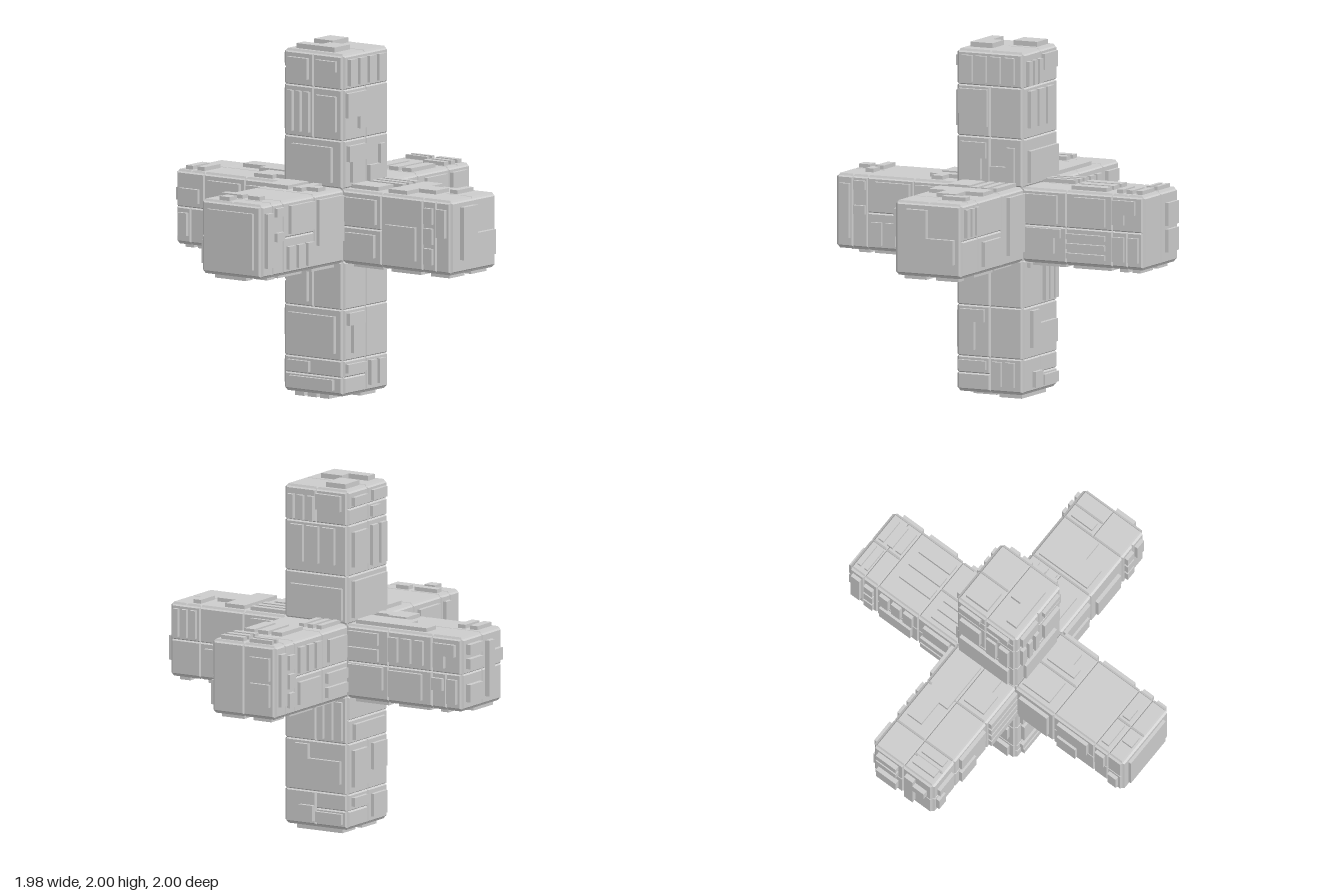
import * as THREE from 'three';

const HALF = 0.2, REACH = 0.96, SKIN = 0.012;
const material = new THREE.MeshStandardMaterial({ color: 0xcccccc, flatShading: true });

// Bevelled plate in a face frame; u and v in hundredths, w is the base level
function plate(name, u0, u1, v0, v1, w, height, bevel) {
  const width = (u1 - u0) / 100, depth = (v1 - v0) / 100;
  const geo = new THREE.BoxGeometry(width, depth, height);
  const p = geo.attributes.position;
  for (let i = 0; i < p.count; i++) {
    if (p.getZ(i) < 0) continue;
    p.setX(i, p.getX(i) - Math.sign(p.getX(i)) * bevel);
    p.setY(i, p.getY(i) - Math.sign(p.getY(i)) * bevel);
  }
  geo.computeVertexNormals();
  const mesh = new THREE.Mesh(geo, material);
  mesh.name = name;
  mesh.position.set((u0 + u1) / 200, (v0 + v1) / 200, w + height / 2);
  return mesh;
}

// Cuts a rectangle into skin panels: . whole, | - halves, + quarters,
// L R U D halves with the left, right, upper or lower one cut again
function split([a, b, c, d], code) {
  const m = (a + b) / 2, n = (c + d) / 2;
  const left = [a, m, c, d], right = [m, b, c, d], low = [a, b, c, n], high = [a, b, n, d];
  switch (code) {
    case '|': return [left, right];
    case '-': return [low, high];
    case '+': return [...split(low, '|'), ...split(high, '|')];
    case 'L': return [...split(left, '-'), right];
    case 'R': return [left, ...split(right, '-')];
    case 'U': return [low, ...split(high, '|')];
    case 'D': return [...split(low, '|'), high];
    default: return [[a, b, c, d]];
  }
}

// Segment rectangles of one arm as it lies in a face frame, from hub to tip
const steps = [[21, 48], [48, 77], [77, 96]];
const areas = {
  up: steps.map(([a, b]) => [-20, 20, a, b]),
  down: steps.map(([a, b]) => [-20, 20, -b, -a]),
  right: steps.map(([a, b]) => [a, b, -20, 20]),
  left: steps.map(([a, b]) => [-b, -a, -20, 20]),
  end: [[-20, 20, -20, 20]],
};

// Per face and arm: panel codes, then raised plates [u0, u1, v0, v1, strips]
// (strips > 0 are set side by side in u, strips < 0 in v)
const faces = {
  front: {
    axes: [[1, 0, 0], [0, 1, 0]], endHeight: 0.028,
    up: ['||.', [-18, -2, 36, 45], [-15, -5, 24, 36], [11, 16, 32, 43], [1, 16, 23, 32],
      [-19, -8, 61, 75], [-8, -1, 54, 75], [-17, 16, 79, 94, 4]],
    down: ['||L', [-18, -3, -57, -50], [-14, -9, -73, -57], [-19, -2, -84, -79], [2, 16, -93, -79, 2]],
    right: ['--D', [22, 43, 2, 18], [23, 45, -6, -1], [23, 41, -15, -6], [54, 73, 2, 18],
      [49, 73, -17, -3, -3], [78, 92, 10, 18], [78, 85, 4, 10], [78, 85, -17, -3], [88, 94, -17, -3]],
    left: ['.-|', [-46, -23, -8, 18], [-72, -50, 2, 18], [-74, -50, -18, -5, 3],
      [-94, -88, -15, 16], [-85, -78, -1, 4], [-85, -78, 13, 18]],
    end: ['.', [-13, 0, -13, 17], [0, 17, -13, 1]],
  },
  right: {
    axes: [[0, 0, -1], [0, 1, 0]], endHeight: 0.02,
    up: ['..|', [-16, 18, 23, 41], [-16, 13, 54, 75, 3], [-18, -1, 78, 92, 3], [1, 17, 85, 94]],
    down: ['|.R', [-17, -5, -25, -22], [2, 18, -46, -24, 3], [-13, -4, -71, -50], [-4, 17, -71, -58],
      [-10, -1, -94, -85], [1, 18, -94, -88]],
    right: ['--D', [22, 42, 2, 18, -2], [22, 45, -6, -1], [36, 45, -14, -6], [49, 72, 3, 17, 3],
      [49, 71, -17, -2], [79, 93, 10, 17], [79, 86, 3, 10], [78, 85, -10, -3], [88, 94, -17, -3]],
    left: ['.--', [-42, -23, -15, 18], [-73, -52, -17, -3], [-94, -79, 2, 18, 3]],
    end: ['|', [5, 18, 1, 14], [5, 18, -14, -1]],
  },
  top: {
    axes: [[1, 0, 0], [0, 0, -1]], endHeight: 0.028,
    up: ['||L', [-17, -3, 32, 45], [-13, -6, 23, 32], [7, 17, 24, 71], [1, 7, 24, 55],
      [-18, -3, 87, 92], [-18, -3, 79, 84]],
    down: ['|.R', [-16, -2, -42, -23], [1, 17, -46, -22, 3], [-17, 17, -63, -50], [-6, 6, -75, -63], [2, 17, -84, -79]],
    right: ['-.+', [22, 42, 2, 17, -3], [49, 71, -16, 9, -3], [87, 94, 2, 17, 2], [78, 94, -17, -2, 3]],
    left: ['-.+', [-42, -23, 2, 17], [-44, -25, -9, -3], [-39, -32, -17, -9],
      [-95, -88, 3, 10], [-84, -79, 2, 17], [-84, -79, -10, -2]],
    end: ['R', [-17, -10, -12, 15], [-10, -3, -12, 2], [2, 17, 4, 17]],
  },
  back: {
    axes: [[-1, 0, 0], [0, 1, 0]], endHeight: 0.028,
    up: ['.|+', [-17, 17, 24, 45], [-17, -3, 53, 73], [2, 17, 51, 74, 2], [-17, -3, 88, 93], [2, 10, 79, 85], [3, 17, 88, 94]],
    down: ['-|L', [-16, 16, -46, -37], [-17, -3, -73, -52], [3, 17, -66, -51], [-17, -3, -84, -79], [3, 17, -93, -80]],
    right: ['.-+', [25, 45, -14, 15], [52, 73, 2, 17], [52, 65, -17, -3], [79, 85, 2, 17], [88, 94, -16, -3]],
    left: ['--|', [-45, -24, -17, -3, -2], [-43, -25, 3, 16], [-74, -51, 2, 17, 3], [-74, -52, -16, -3],
      [-94, -88, -14, 16], [-85, -79, -16, 14, -3]],
    end: ['+', [-17, -3, 3, 17, -2], [3, 9, -16, 16], [9, 17, 3, 10], [-17, -3, -16, -6]],
  },
  left: {
    axes: [[0, 0, 1], [0, 1, 0]], endHeight: 0.018,
    up: ['.||', [-14, 14, 24, 44], [-17, -2, 51, 74, 3], [3, 17, 53, 73], [-17, -3, 81, 93], [3, 17, 87, 93]],
    down: ['|.-', [-17, -3, -45, -24], [-16, 16, -73, -52], [-17, -2, -85, -79], [-16, 15, -94, -88]],
    right: ['-.|', [23, 45, 3, 17], [24, 44, -16, -3], [52, 73, -15, 4], [79, 85, -16, 16, -3], [88, 94, 0, 16]],
    left: ['.-D', [-46, -22, -17, 17, -4], [-73, -51, 3, 17], [-73, -60, -17, -3], [-93, -80, 3, 11], [-94, -88, -16, -3]],
    end: ['.', [-16, 16, -16, 16]],
  },
  bottom: {
    axes: [[1, 0, 0], [0, 0, 1]], endHeight: 0.028,
    up: ['.||', [-15, 15, 24, 45], [-17, -3, 52, 73], [3, 17, 51, 74, 3], [-17, -3, 80, 93], [3, 17, 86, 93]],
    down: ['|.-', [-17, -3, -45, -24], [3, 17, -46, -24, 2], [-16, 16, -73, -52], [-16, 16, -85, -80], [-16, 4, -94, -88]],
    right: ['..+', [24, 45, -15, 15], [50, 74, -16, 16], [80, 93, 2, 17, 2], [80, 93, -16, -4]],
    left: ['-.|', [-45, -24, 3, 17], [-44, -25, -16, -3], [-75, -53, -16, 16], [-85, -78, -16, 16, -3], [-94, -88, -14, 8]],
    end: ['|', [-17, -2, -16, 8, -3], [3, 17, -15, 15]],
  },
};

function buildFace(name, face) {
  const group = new THREE.Group();
  group.name = name + 'Face';
  for (const [arm, rects] of Object.entries(areas)) {
    const [codes, ...plates] = face[arm];
    const level = arm === 'end' ? REACH : HALF;
    const rise = arm === 'end' ? face.endHeight : 0.022;
    // skin panels, parted by V-shaped seams
    rects.forEach((rect, i) => split(rect, codes[i]).forEach((r) =>
      group.add(plate('skinPanel', ...r, level, SKIN, 0.007))));
    // raised plates and strips
    for (const [a, b, c, d, strips = 1] of plates) {
      const n = Math.abs(strips), gap = n > 1 ? 2.4 : 0;
      const [lo, hi] = strips > 0 ? [a, b] : [c, d];
      const size = (hi - lo - gap * (n - 1)) / n;
      for (let i = 0; i < n; i++) {
        const s = lo + i * (size + gap);
        const r = strips > 0 ? [s, s + size, c, d] : [a, b, s, s + size];
        group.add(plate('raisedPlate', ...r, level + SKIN, rise, 0));
      }
    }
  }
  const u = new THREE.Vector3(...face.axes[0]), v = new THREE.Vector3(...face.axes[1]);
  const basis = new THREE.Matrix4().makeBasis(u, v, u.clone().cross(v));
  group.quaternion.setFromRotationMatrix(basis);
  return group;
}

export function createModel() {
  const model = new THREE.Group();
  model.name = 'sixArmedStation';

  // three crossing beams carry the skin
  ['x', 'y', 'z'].forEach((axis) => {
    const size = { x: HALF * 2, y: HALF * 2, z: HALF * 2, [axis]: REACH * 2 };
    const beam = new THREE.Mesh(new THREE.BoxGeometry(size.x, size.y, size.z), material);
    beam.name = axis + 'Beam';
    model.add(beam);
  });

  for (const [name, face] of Object.entries(faces)) model.add(buildFace(name, face));
  model.children.forEach((part) => part.position.set(-0.004, 1, 0));
  return model;
}
